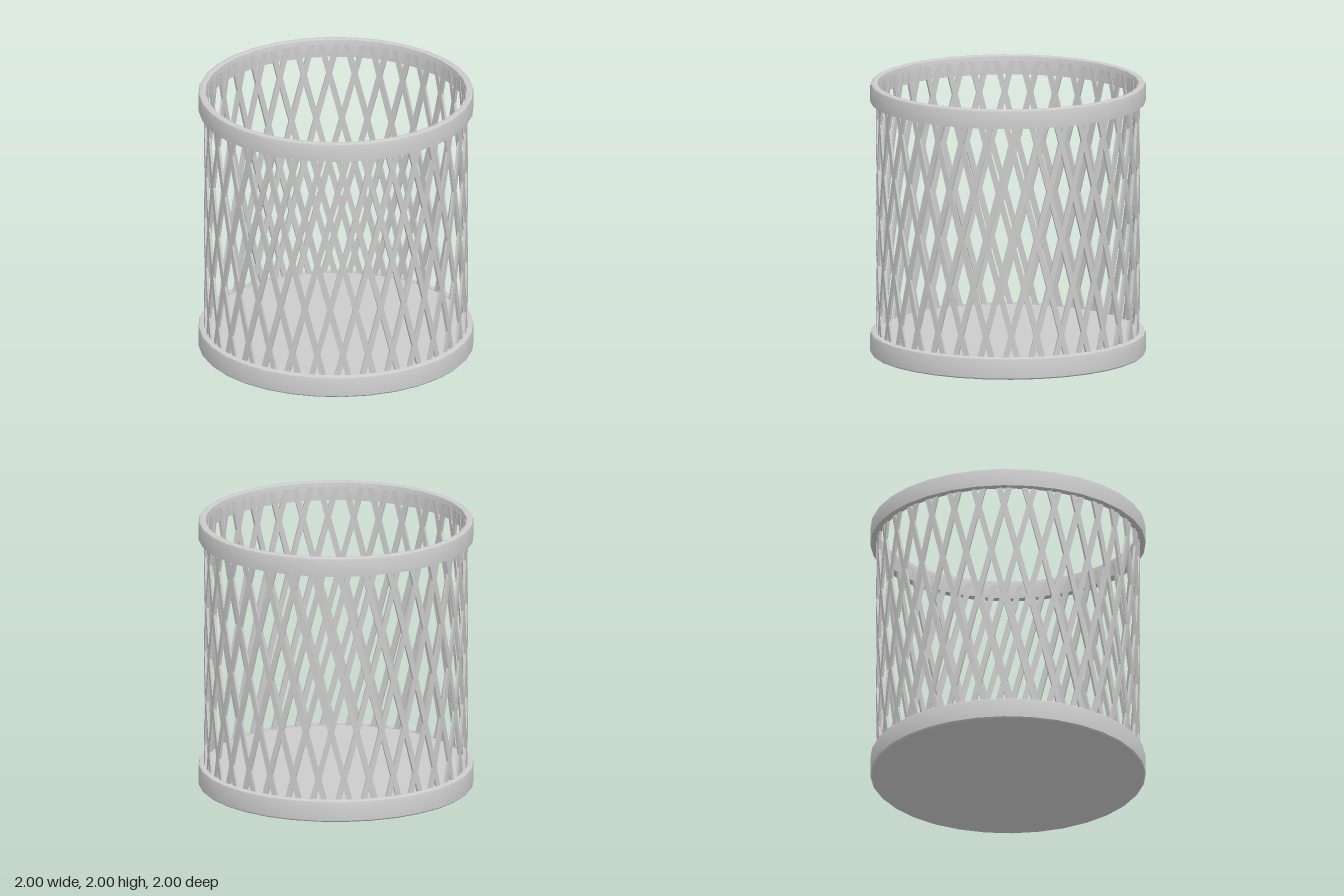
import * as THREE from 'three';
import { toCreasedNormals } from 'three/addons/utils/BufferGeometryUtils.js';

const SIDES = 32;
const STEP = (Math.PI * 2) / SIDES;

export function createModel() {
  const group = new THREE.Group();
  group.name = 'latticeBasket';
  const material = new THREE.MeshStandardMaterial({ color: 0xcccccc });

  const add = (name, geometry, parent = group) => {
    const mesh = new THREE.Mesh(geometry, material);
    mesh.name = name;
    parent.add(mesh);
    return mesh;
  };

  // Turned part with crisp edges; profile runs up the outside
  const turned = (points) => {
    const profile = points.map(([r, y]) => new THREE.Vector2(r, y));
    return toCreasedNormals(new THREE.LatheGeometry(profile, SIDES), 0.6);
  };

  // Solid base with softened edges
  add('base', turned([
    [0, 0], [0.99, 0], [1, 0.01], [1, 0.145], [0.996, 0.154], [0.985, 0.16],
    [0.945, 0.16], [0.945, 0.155], [0, 0.155],
  ]));

  // Open top rim, rounded along its upper edge
  add('topRim', turned([
    [0.945, 1.86], [1, 1.86], [1, 1.982], [0.995, 1.993], [0.982, 2],
    [0.96, 2], [0.949, 1.995], [0.945, 1.985], [0.945, 1.86],
  ]));

  // One slat: a thin upright bar wrapped around the wall as a helix
  const R = 0.948, WIDTH = 0.042, THICK = 0.018;
  const BOTTOM = 0.13, TOP = 1.96;
  const CROSS_Y = 1.02, CROSS_GAP = 0.355; // level of a crossing, and spacing between levels
  const slat = (direction) => {
    const geo = new THREE.BoxGeometry(WIDTH, TOP - BOTTOM, THICK, 1, 10, 1);
    geo.translate(0, (TOP + BOTTOM) / 2, 0);
    const p = geo.attributes.position;
    for (let i = 0; i < p.count; i++) {
      const y = p.getY(i);
      const angle = p.getX(i) / R + direction * ((y - CROSS_Y) / CROSS_GAP) * (STEP / 2);
      const r = R + p.getZ(i);
      p.setXYZ(i, r * Math.sin(angle), y, r * Math.cos(angle));
    }
    geo.computeVertexNormals();
    return geo;
  };

  // Two opposed sets of slats form the diamond lattice
  for (const [name, direction] of [['leftLeaningSlats', -1], ['rightLeaningSlats', 1]]) {
    const set = new THREE.Group();
    set.name = name;
    const geo = slat(direction);
    for (let i = 0; i < SIDES; i++) add('slat', geo, set).rotation.y = i * STEP;
    group.add(set);
  }

  return group;
}
